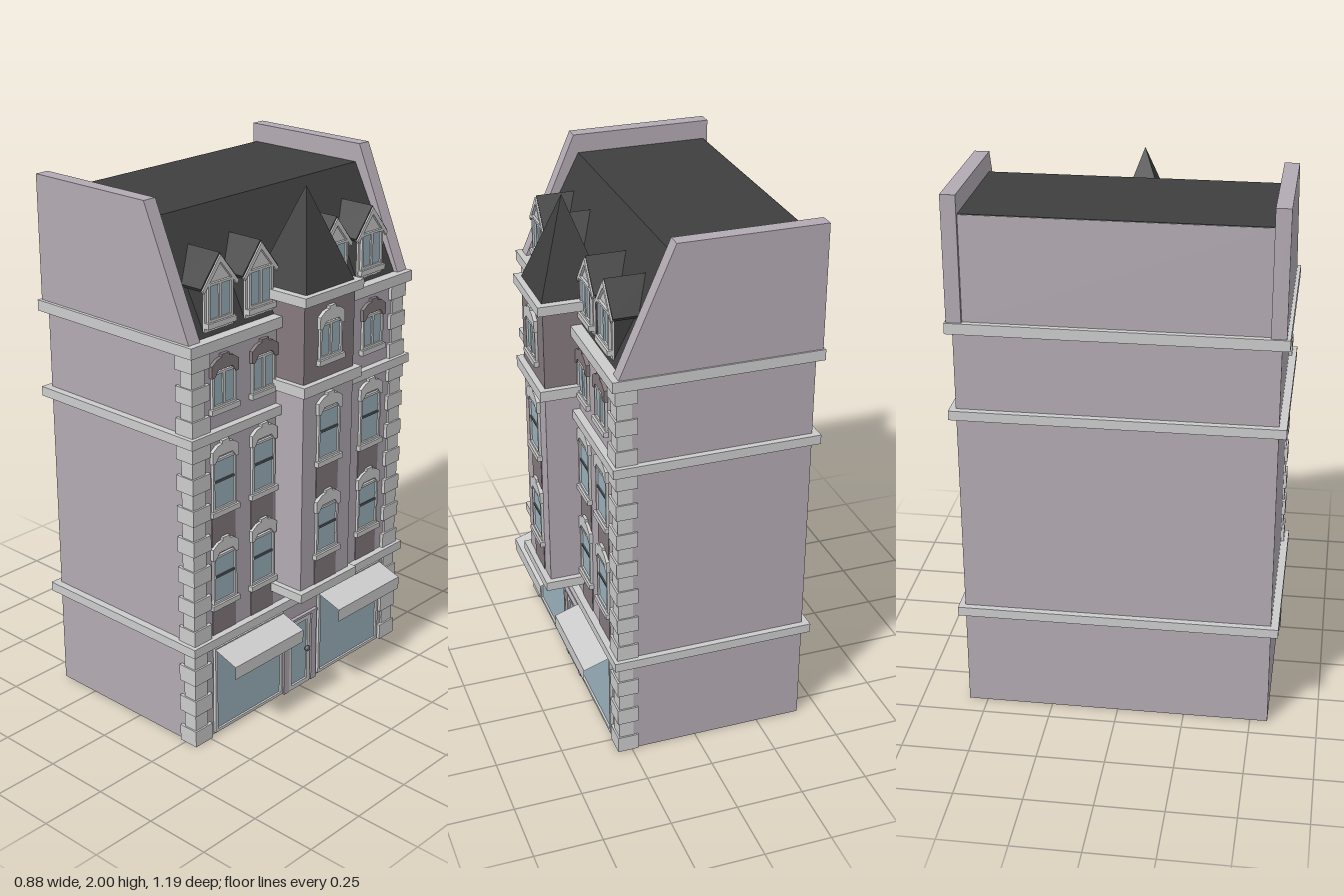
import * as THREE from 'three';

const mat = (color) => new THREE.MeshStandardMaterial({ color, flatShading: true });
const WALL = mat(0xb2aab2), BRICK = mat(0x857a7e), STONE = mat(0xcccccc);
const ROOF = mat(0x3e3e3e), GLASS = mat(0x9cb2be), METAL = mat(0x555c60);
const CANVAS = new THREE.MeshStandardMaterial({ color: 0xcccccc, side: THREE.DoubleSide });

function add(parent, name, geometry, material) {
  const mesh = new THREE.Mesh(geometry, material);
  mesh.name = name;
  parent.add(mesh);
  return mesh;
}

// Box given by its limits
function box(parent, name, material, x0, x1, y0, y1, z0, z1) {
  const g = new THREE.BoxGeometry(x1 - x0, y1 - y0, z1 - z0);
  g.translate((x0 + x1) / 2, (y0 + y1) / 2, (z0 + z1) / 2);
  return add(parent, name, g, material);
}

const shapeOf = (pts) => new THREE.Shape(pts.map((p) => new THREE.Vector2(p[0], p[1])));

// Outline in x,y pushed along z from z0 to z1
function plate(parent, name, material, pts, z0, z1) {
  const g = new THREE.ExtrudeGeometry(shapeOf(pts), { depth: z1 - z0, bevelEnabled: false });
  g.translate(0, 0, z0);
  return add(parent, name, g, material);
}

// Outline in z,y pushed along x from x0 to x1
function sideProfile(parent, name, material, pts, x0, x1) {
  const g = new THREE.ExtrudeGeometry(shapeOf(pts), { depth: x1 - x0, bevelEnabled: false });
  g.rotateY(-Math.PI / 2);
  g.translate(x1, 0, 0);
  return add(parent, name, g, material);
}

// Rectangular frame with a real opening
function frame(parent, name, material, x0, x1, y0, y1, t, z0, z1) {
  const s = shapeOf([[x0, y0], [x1, y0], [x1, y1], [x0, y1]]);
  s.holes.push(new THREE.Path([[x0 + t, y0 + t], [x0 + t, y1 - t], [x1 - t, y1 - t], [x1 - t, y0 + t]]
    .map((p) => new THREE.Vector2(p[0], p[1]))));
  const g = new THREE.ExtrudeGeometry(s, { depth: z1 - z0, bevelEnabled: false });
  g.translate(0, 0, z0);
  return add(parent, name, g, material);
}

// Glass, frame, glazing bar and sill on a wall at depth z
function sash(parent, x, y0, y1, z, casement) {
  const w = new THREE.Group();
  w.name = 'window';
  parent.add(w);
  box(w, 'glass', GLASS, x - 0.055, x + 0.055, y0, y1, z - 0.01, z + 0.003);
  frame(w, 'windowFrame', STONE, x - 0.06, x + 0.06, y0, y1, 0.009, z - 0.005, z + 0.01);
  if (casement) box(w, 'mullion', STONE, x - 0.006, x + 0.006, y0, y1, z, z + 0.008);
  else {
    const m = y0 + (y1 - y0) * 0.56;
    box(w, 'meetingRail', METAL, x - 0.05, x + 0.05, m - 0.004, m + 0.004, z, z + 0.008);
  }
  box(w, 'sill', STONE, x - 0.069, x + 0.069, y0 - 0.02, y0, z - 0.01, z + 0.018);
  return w;
}

// Arched lintel with a keystone
function lintel(parent, x, y, z, material) {
  const half = [[0.066, -0.012], [0.066, 0.032], [0.04, 0.05], [0.018, 0.054], [0.018, 0.065]];
  const inner = [[0.035, 0.012], [0.052, -0.012]];
  const mirror = (a) => a.map(([u, v]) => [-u, v]).reverse();
  const pts = [...half, ...mirror(half), ...mirror(inner), ...inner];
  const m = plate(parent, 'lintel', material, pts, z - 0.005, z + 0.014);
  m.position.set(x, y, 0);
}

// Gabled dormer standing out of the mansard
function dormer(parent, x) {
  const d = new THREE.Group();
  d.name = 'dormer';
  d.position.x = x;
  parent.add(d);
  const gable = [[-0.07, 1.56], [0.07, 1.56], [0.07, 1.72], [0, 1.803], [-0.07, 1.72]];
  const chevron = [[0.09, 1.718], [0, 1.826], [-0.09, 1.718], [-0.082, 1.706], [0, 1.8], [0.082, 1.706]];
  plate(d, 'dormerCheeks', ROOF, gable, 0.13, 0.268);
  plate(d, 'dormerFront', STONE, gable, 0.268, 0.274);
  plate(d, 'dormerRoof', ROOF, chevron, 0.12, 0.278);
  const barge = chevron.map(([u, v]) => [u * 0.97, v - 0.006]);
  plate(d, 'bargeboard', STONE, barge, 0.274, 0.284);
  sash(d, 0, 1.595, 1.73, 0.274, true);
}

// Shop window with awning between x0 and x1
function shopfront(parent, x0, x1) {
  const s = new THREE.Group();
  s.name = 'shopfront';
  parent.add(s);
  box(s, 'shopGlass', GLASS, x0, x1, 0.012, 0.36, 0.28, 0.294);
  frame(s, 'shopFrame', STONE, x0, x1, 0.01, 0.362, 0.012, 0.285, 0.302);
  const section = [[0.362, 0.29], [0.325, 0.4], [0.275, 0.4]];
  const pos = section.flatMap(([y, z]) => [x0, y, z, x1, y, z]);
  const g = new THREE.BufferGeometry();
  g.setAttribute('position', new THREE.Float32BufferAttribute(pos, 3));
  g.setIndex([0, 2, 1, 1, 2, 3, 2, 4, 3, 3, 4, 5]);
  const flat = g.toNonIndexed();
  flat.computeVertexNormals();
  add(s, 'awning', flat, CANVAS);
}

export function createModel() {
  const root = new THREE.Group();
  root.name = 'townhouse';
  // The street facade is laid out facing +z, then turned to +x
  const house = new THREE.Group();
  house.name = 'building';
  house.rotation.y = Math.PI / 2;
  root.add(house);
  const F = 0.29, T = 0.418, C = -0.006;

  // Main block and wrap-around cornices
  box(house, 'walls', WALL, -0.565, 0.57, 0, 1.54, -0.418, F);
  for (const [y0, y1] of [[0.38, 0.415], [1.18, 1.215], [1.505, 1.545]])
    box(house, 'cornice', STONE, -0.593, 0.593, y0, y1, -0.443, 0.318);

  // Mansard roof, rear wall and gable parapets
  sideProfile(house, 'mansardRoof', ROOF, [[-0.418, 1.54], [0.28, 1.54], [0.08, 1.93], [-0.418, 1.93]], -0.53, 0.54);
  box(house, 'upperRearWall', WALL, -0.53, 0.54, 1.54, 1.928, -0.421, -0.41);
  const parapet = [[-0.435, 1.54], [0.297, 1.54], [0.097, 2], [-0.435, 2]];
  sideProfile(house, 'parapet', WALL, parapet, -0.58, -0.526);
  sideProfile(house, 'parapet', WALL, parapet, 0.533, 0.587);

  // Corner quoins, long and short in turn
  for (const [from, to, n] of [[0, 0.38, 6], [0.415, 1.18, 13], [1.215, 1.505, 5]]) {
    const h = (to - from) / n;
    for (let i = 0; i < n; i++) {
      const long = i % 2 === 0, y = from + i * h;
      const a = long ? 0.49 : 0.508, b = long ? 0.577 : 0.571;
      const z0 = long ? 0.225 : 0.243, z1 = long ? 0.304 : 0.297;
      box(house, 'quoin', STONE, a, b, y, y + h, z0, z1);
      box(house, 'quoin', STONE, -b, -a, y, y + h, z0, z1);
    }
  }

  // Window columns, brick panels and dormers
  for (const x of [-0.413, -0.212, 0.19, 0.392]) {
    for (const [y0, y1] of [[0.415, 0.53], [0.76, 0.9]])
      box(house, 'brickPanel', BRICK, x - 0.06, x + 0.06, y0, y1, F - 0.01, F + 0.003);
    for (const [y0, y1] of [[0.54, 0.73], [0.905, 1.1]]) {
      sash(house, x, y0, y1, F, false);
      lintel(house, x, y1, F, STONE);
    }
    sash(house, x, 1.29, 1.42, F, true);
    lintel(house, x, 1.415, F, BRICK);
    dormer(house, x);
  }

  // Projecting tower bay with slabs and pyramid roof
  const bay = new THREE.Group();
  bay.name = 'towerBay';
  house.add(bay);
  box(bay, 'bayWalls', WALL, C - 0.135, C + 0.135, 0.5, 1.29, 0.25, T);
  box(bay, 'bayUpperWalls', BRICK, C - 0.135, C + 0.135, 1.29, 1.63, 0.2, T);
  for (const [y0, y1] of [[0.475, 0.51], [1.275, 1.315], [1.605, 1.64]])
    box(bay, 'baySlab', STONE, C - 0.157, C + 0.157, y0, y1, 0.22, 0.441);
  const pyramid = new THREE.ConeGeometry(Math.SQRT1_2, 1, 4);
  pyramid.rotateY(Math.PI / 4);
  pyramid.scale(0.256, 0.34, 0.236);
  pyramid.translate(C, 1.81, 0.301);
  add(bay, 'pyramidRoof', pyramid, ROOF);
  for (const [y0, y1] of [[0.51, 0.62], [0.86, 0.99]])
    box(bay, 'brickPanel', BRICK, C - 0.06, C + 0.06, y0, y1, T - 0.01, T + 0.003);
  for (const [y0, y1, two] of [[0.635, 0.82, false], [1.005, 1.2, false], [1.39, 1.52, true]]) {
    sash(bay, C, y0, y1, T, two);
    lintel(bay, C, y1 - 0.005, T, STONE);
  }

  // Shopfronts and the entrance between them
  shopfront(house, -0.47, -0.1);
  shopfront(house, 0.106, 0.476);
  const door = new THREE.Group();
  door.name = 'entrance';
  house.add(door);
  for (const x of [-0.078, 0.078])
    box(door, 'doorPilaster', WALL, x - 0.014, x + 0.014, 0, 0.3, 0.28, 0.302);
  box(door, 'doorHead', WALL, -0.095, 0.095, 0.295, 0.305, 0.28, 0.304);
  box(door, 'doorGlass', GLASS, -0.05, 0.05, 0.02, 0.28, 0.28, 0.294);
  frame(door, 'doorFrame', STONE, -0.064, 0.058, 0, 0.295, 0.018, 0.285, 0.3);
  const knob = add(door, 'doorKnob', new THREE.SphereGeometry(0.011, 12, 8), METAL);
  knob.position.set(0.036, 0.152, 0.306);

  return root;
}
